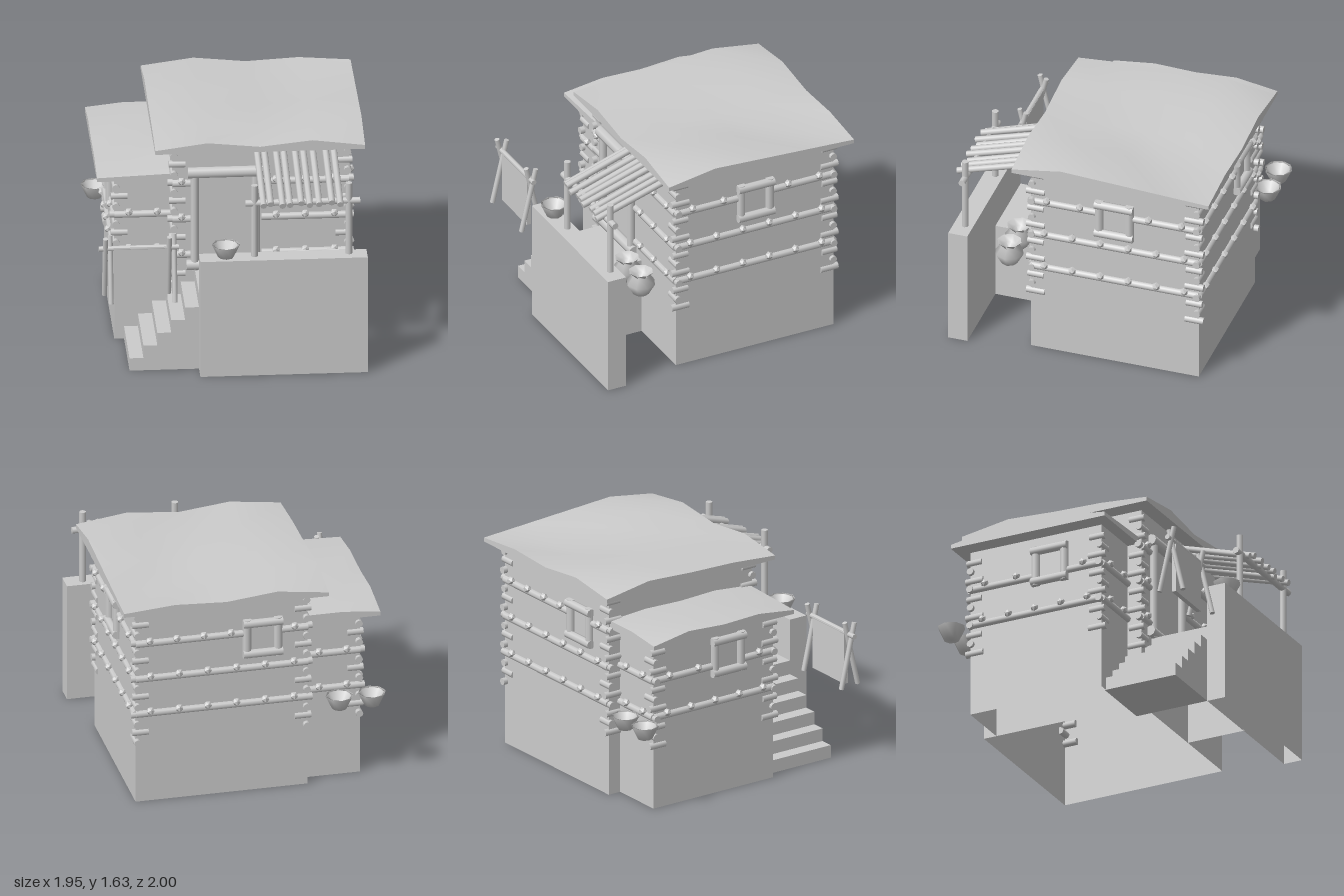
import * as THREE from 'three';

const grey = new THREE.MeshStandardMaterial({ color: 0xcccccc });
const thin = new THREE.MeshStandardMaterial({ color: 0xcccccc, side: THREE.DoubleSide });
const faceted = new THREE.MeshStandardMaterial({ color: 0xcccccc, flatShading: true });
const V = (x, y, z) => new THREE.Vector3(x, y, z);

export function createModel() {
  const model = new THREE.Group();

  const add = (name, geo, mat = grey, parent = model) => {
    const m = new THREE.Mesh(geo, mat);
    m.name = name;
    parent.add(m);
    return m;
  };
  const group = (name) => {
    const g = new THREE.Group();
    g.name = name;
    model.add(g);
    return g;
  };
  // Round pole from a to b
  const pole = (name, a, b, r, parent = model, sides = 8) => {
    const m = add(name, new THREE.CylinderGeometry(r, r, a.distanceTo(b), sides), grey, parent);
    m.position.copy(a).add(b).multiplyScalar(0.5);
    m.quaternion.setFromUnitVectors(V(0, 1, 0), b.clone().sub(a).normalize());
    return m;
  };
  // Box without a floor
  const openBox = (name, x0, x1, y0, y1, z0, z1) => {
    const g = new THREE.BoxGeometry(x1 - x0, y1 - y0, z1 - z0);
    const idx = Array.from(g.index.array);
    idx.splice(18, 6);
    g.setIndex(idx);
    g.clearGroups();
    g.translate((x0 + x1) / 2, (y0 + y1) / 2, (z0 + z1) / 2);
    return add(name, g, thin);
  };

  // Walls
  const M = { x0: -0.41, x1: 0.86, z0: -0.88, z1: 0.39 };
  const A = { x0: -0.82, x1: -0.41, z0: -0.78, z1: 0.28 };
  openBox('mainWalls', M.x0, M.x1, 0, 1.55, M.z0, M.z1);
  openBox('annexWalls', A.x0, A.x1, 0, 1.29, A.z0, A.z1);

  // Uneven roofs: a height grid with a straight edge and a flat underside
  const roof = (name, x0, x1, z0, z1, yb, rows) => {
    const g = group(name), nz = rows.length - 1, nx = rows[0].length - 1;
    const cx = (x0 + x1) / 2, cz = (z0 + z1) / 2;
    const top = new THREE.PlaneGeometry(x1 - x0, z1 - z0, nx, nz).rotateX(-Math.PI / 2).translate(cx, 0, cz);
    const p = top.attributes.position;
    rows.flat().forEach((h, i) => p.setY(i, yb + h));
    top.computeVertexNormals();
    add(name + 'Top', top, grey, g);
    const under = new THREE.PlaneGeometry(x1 - x0, z1 - z0).rotateX(Math.PI / 2).translate(cx, yb, cz);
    add(name + 'Underside', under, grey, g);
    const ring = [];
    for (let i = 0; i < nx; i++) ring.push(nz * (nx + 1) + i);
    for (let j = nz; j > 0; j--) ring.push(j * (nx + 1) + nx);
    for (let i = nx; i > 0; i--) ring.push(i);
    for (let j = 0; j < nz; j++) ring.push(j * (nx + 1));
    const pts = [];
    ring.forEach((a, k) => {
      const at = V().fromBufferAttribute(p, a), bt = V().fromBufferAttribute(p, ring[(k + 1) % ring.length]);
      const al = at.clone().setY(yb), bl = bt.clone().setY(yb);
      pts.push(al, bl, bt, al, bt, at);
    });
    const edge = new THREE.BufferGeometry().setFromPoints(pts);
    edge.computeVertexNormals();
    add(name + 'Edge', edge, grey, g);
  };
  roof('mainRoof', -0.54, 0.97, -0.99, 0.5, 1.54, [
    [0.03, 0.08, 0.04, 0.06, 0.03],
    [0.09, 0.09, 0.04, 0.01, 0.05],
    [0.07, 0.09, 0.03, 0.06, 0.07],
    [0.06, 0.08, 0.04, 0.09, 0.09],
    [0.03, 0.08, 0.04, 0.08, 0.03],
  ]);
  roof('annexRoof', -0.95, -0.41, -0.87, 0.37, 1.28, [
    [0.03, 0.06, 0.06],
    [0.08, 0.08, 0.08],
    [0.06, 0.08, 0.07],
    [0.07, 0.07, 0.08],
    [0.03, 0.04, 0.05],
  ]);

  // Interlocking log ends at the corners
  const cornerLogs = (b, xs, top) => {
    const g = group('cornerLogs');
    for (const sx of xs) for (const sz of [-1, 1]) {
      const cx = sx < 0 ? b.x0 : b.x1, cz = sz < 0 ? b.z0 : b.z1;
      for (let i = 0, y = 0.48; y < top; i++, y += 0.0715) {
        const along = i % 2 ? V(1, 0, 0) : V(0, 0, 1);
        const c = V(cx - sx * (i % 2 ? 0.035 : 0.01), y, cz - sz * (i % 2 ? 0.01 : 0.035));
        const h = i % 4 === 3 || i % 4 === 0 ? 0.07 : 0.06;
        pole('logEnd', c.clone().addScaledVector(along, -h), c.clone().addScaledVector(along, h), 0.027, g);
      }
    }
  };
  cornerLogs(M, [-1, 1], 1.5);
  cornerLogs(A, [-1], 1.23);

  // Horizontal beams with round pegs
  const beams = group('wallBeams');
  const pegGeo = new THREE.IcosahedronGeometry(0.031, 0);
  const beam = (a, b, out) => {
    pole('beam', a, b, 0.027, beams);
    const len = a.distanceTo(b), n = Math.max(1, Math.round(len / 0.205));
    for (let i = 0; i < n; i++) {
      const peg = add('peg', pegGeo, faceted, beams);
      peg.position.lerpVectors(a, b, (i + 0.5) / n).addScaledVector(out, 0.02);
      peg.position.y += 0.025;
    }
  };
  const alongX = (x0, x1, y, z, s) => beam(V(x0, y, z), V(x1, y, z), V(0, 0, s));
  const alongZ = (z0, z1, y, x, s) => beam(V(x, y, z0), V(x, y, z1), V(s, 0, 0));
  for (const y of [0.7, 0.98, 1.26]) {
    alongX(0.23, M.x1, y, M.z1, 1);
    alongX(M.x0, -0.28, y, M.z1, 1);
    if (y < 1.2) {
      alongZ(M.z0, M.z1, y, M.x1, 1);
      alongX(M.x0, M.x1, y, M.z0, -1);
      alongX(A.x0, A.x1, y, A.z0, -1);
      alongX(A.x0, A.x1, y, A.z1, 1);
    }
  }
  alongZ(M.z0, -0.38, 1.26, M.x1, 1);
  alongZ(-0.11, M.z1, 1.26, M.x1, 1);
  alongX(M.x0, -0.21, 1.26, M.z0, -1);
  alongX(0.06, M.x1, 1.26, M.z0, -1);
  alongZ(A.z0, A.z1, 0.7, A.x0, -1);
  alongZ(A.z0, -0.27, 0.98, A.x0, -1);
  alongZ(0, A.z1, 0.98, A.x0, -1);

  // Window frames of four logs
  const windowFrame = (x, y, z, turn) => {
    const g = group('windowFrame');
    for (const s of [-1, 1]) {
      pole('jamb', V(s * 0.115, -0.15, 0), V(s * 0.115, 0.15, 0), 0.032, g);
      pole('rail', V(-0.145, s * 0.12, 0.012), V(0.145, s * 0.12, 0.012), 0.032, g);
    }
    g.position.set(x, y, z);
    g.rotation.y = turn;
  };
  windowFrame(M.x1 + 0.01, 1.22, -0.245, Math.PI / 2);
  windowFrame(-0.075, 1.22, M.z0 - 0.01, Math.PI);
  windowFrame(A.x0 - 0.01, 1.05, -0.13, -Math.PI / 2);

  // Door frame
  const door = group('doorFrame');
  for (const x of [-0.25, 0.19]) pole('doorPost', V(x, 0.59, 0.41), V(x, 1.33, 0.41), 0.03, door);
  pole('lintel', V(-0.3, 1.35, 0.41), V(0.24, 1.35, 0.41), 0.042, door);
  pole('sill', V(-0.31, 0.625, 0.41), V(0.24, 0.625, 0.41), 0.04, door);

  // Terrace, front wall and stairs
  openBox('terrace', -0.25, 0.32, 0, 0.59, 0.39, 0.85);
  openBox('frontWall', -0.25, 0.955, 0, 0.905, 0.84, 0.985);
  const steps = new THREE.Shape().moveTo(-0.25, 0).lineTo(-0.75, 0);
  for (let i = 0; i < 5; i++) {
    steps.lineTo(-0.75 + i * 0.1, (i + 1) * 0.097);
    steps.lineTo(-0.65 + i * 0.1, (i + 1) * 0.097);
  }
  const stairGeo = new THREE.ExtrudeGeometry(steps, { depth: 0.57, bevelEnabled: false });
  add('stairs', stairGeo.translate(0, 0, 0.27));

  // Awning of loose poles
  const awning = group('awning');
  for (const x of [0.145, 0.825]) pole('awningPost', V(x, 0.9, 0.9), V(x, 1.46, 0.9), 0.025, awning);
  pole('awningBar', V(0.08, 1.32, 0.9), V(0.905, 1.32, 0.9), 0.025, awning);
  [0.2, 0.25, 0.335, 0.39, 0.47, 0.53, 0.6, 0.69, 0.75].forEach((x, i) => {
    const lift = (i * 2 % 3) * 0.009;
    pole('slat', V(x, 1.49 + lift, 0.39), V(x + 0.008, 1.315 + lift, 0.95 + (i % 3) * 0.015), 0.024, awning);
  });

  // Hide stretched on a rack of crossed poles
  const rack = group('dryingRack');
  add('hide', new THREE.BoxGeometry(0.39, 0.4, 0.035), grey, rack).position.set(-0.675, 0.8, 0.89);
  pole('rackBar', V(-0.975, 0.99, 0.89), V(-0.4, 0.99, 0.89), 0.02, rack);
  for (const x of [-0.91, -0.45]) for (const s of [-1, 1])
    pole('rackLeg', V(x + s * 0.018, 0.59, 0.89 + s * 0.085), V(x + s * 0.018, 1.08, 0.89 - s * 0.03), 0.019, rack);

  // Bowls and pots
  const lathe = (pts, sides) => new THREE.LatheGeometry(pts.map(([r, y]) => new THREE.Vector2(r, y)), sides);
  const bowlGeo = lathe([[0, 0], [0.055, 0], [0.102, 0.1], [0.085, 0.095], [0.045, 0.03], [0, 0.03]], 8);
  for (const [x, y, z] of [[-0.06, 0.9, 0.9], [-0.88, 0.59, -0.9], [-0.64, 0.59, -0.9]])
    add('bowl', bowlGeo, thin).position.set(x, y, z);
  const potGeo = lathe([[0, 0], [0.06, 0], [0.107, 0.085], [0.065, 0.145], [0.09, 0.18], [0.05, 0.14], [0, 0.1]], 8);
  for (const x of [0.5, 0.72]) add('pot', potGeo, thin).position.set(x, 0.59, 0.6);

  return model;
}
